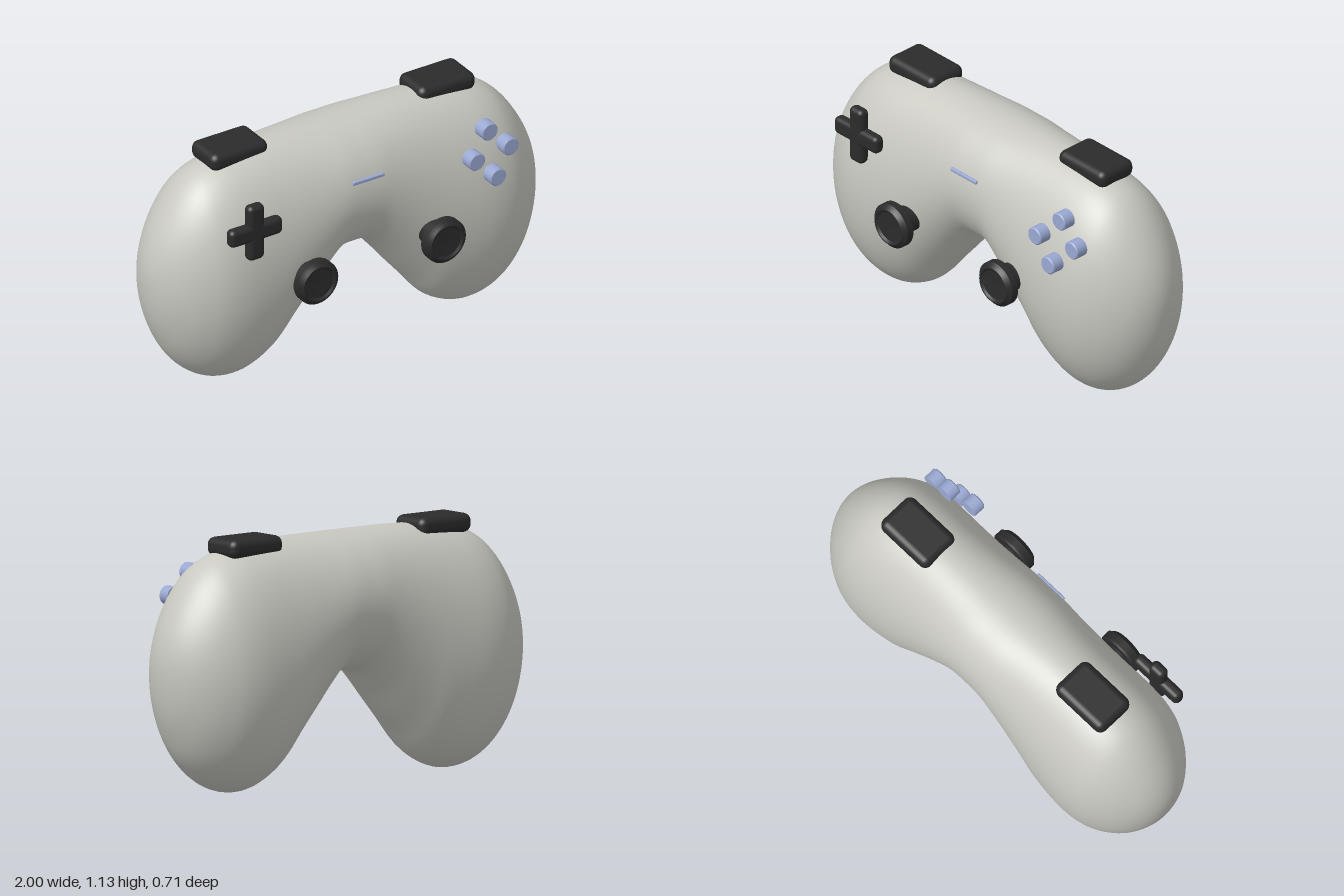
import * as THREE from 'three';
import { mergeVertices } from 'three/addons/utils/BufferGeometryUtils.js';
import { RoundedBoxGeometry } from 'three/addons/geometries/RoundedBoxGeometry.js';

const mat = (name, color) => {
  const m = new THREE.MeshStandardMaterial({ color });
  m.name = name;
  return m;
};

// Outline of the shell from the middle to one side, at x = sin(0, 5, ... 90 degrees)
const TOP = [1.11, 1.11, 1.11, 1.11, 1.108, 1.105, 1.1, 1.092, 1.08, 1.06, 1.03, 0.985, 0.93, 0.87, 0.81, 0.75, 0.69, 0.63, 0.57];
const BOTTOM = [0.487, 0.474, 0.385, 0.28, 0.18, 0.082, 0.03, 0.005, 0.003, 0.017, 0.045, 0.085, 0.135, 0.195, 0.265, 0.335, 0.41, 0.49, 0.57];
const DEPTH = [0.278, 0.279, 0.282, 0.287, 0.294, 0.302, 0.308, 0.312, 0.312, 0.305, 0.29, 0.265, 0.235, 0.2, 0.163, 0.124, 0.083, 0.042, 0];
const BODY_Z = -0.046;

// Shell: elliptical cross-sections strung along x
function bodyGeometry(slices = 144, sides = 72) {
  const stations = [];
  for (let i = -18; i <= 18; i++) {
    const k = Math.abs(i);
    stations.push(new THREE.Vector3(TOP[k], BOTTOM[k], DEPTH[k]));
  }
  const outline = new THREE.CatmullRomCurve3(stations, false, 'catmullrom', 0.5);
  const pos = [], index = [];
  for (let i = 0; i <= slices; i++) {
    const u = i / slices;
    const p = outline.getPoint(u);
    const x = Math.sin((u - 0.5) * Math.PI);
    for (let j = 0; j < sides; j++) {
      const a = (j / sides) * Math.PI * 2;
      pos.push(x, (p.x + p.y) / 2 + ((p.x - p.y) / 2) * Math.cos(a), BODY_Z + p.z * Math.sin(a));
      if (i === slices) continue;
      const n = (j + 1) % sides;
      const A = i * sides + j, B = i * sides + n, C = A + sides, D = B + sides;
      index.push(A, B, C, B, D, C);
    }
  }
  let g = new THREE.BufferGeometry();
  g.setAttribute('position', new THREE.Float32BufferAttribute(pos, 3));
  g.setIndex(index);
  g = mergeVertices(g, 1e-5);
  g.computeVertexNormals();
  return g;
}

// Turned part facing +z; every profile segment keeps its own crisp edge
function turned(points, segments = 40) {
  const g = new THREE.LatheGeometry(points.map(([r, h]) => new THREE.Vector2(r, h)), segments);
  g.rotateX(Math.PI / 2);
  return g;
}

export function createModel() {
  const group = new THREE.Group();
  const shell = mat('warm grey shell', 0xc8c8c1);
  const dark = mat('charcoal', 0x2b2b2b);
  const blue = mat('soft blue', 0x9aa8d2);

  const add = (name, geometry, material, x, y, z, parent = group) => {
    const m = new THREE.Mesh(geometry, material);
    m.name = name;
    m.position.set(x, y, z);
    parent.add(m);
    return m;
  };

  add('body', bodyGeometry(), shell, 0, 0, 0);

  // Shoulder buttons
  for (const [name, x] of [['leftShoulderButton', 0.542], ['rightShoulderButton', -0.546]]) {
    add(name, new RoundedBoxGeometry(0.295, 0.085, 0.2, 4, 0.035), dark, x, 1.092, -0.065);
  }

  // Direction pad
  const pad = new THREE.Group();
  pad.name = 'directionPad';
  pad.position.set(-0.628, 0.855, 0.262);
  group.add(pad);
  add('padHorizontal', new RoundedBoxGeometry(0.275, 0.085, 0.056, 4, 0.024), dark, 0, 0, 0, pad);
  add('padVertical', new RoundedBoxGeometry(0.085, 0.275, 0.056, 4, 0.024), dark, 0, 0, 0, pad);

  // Thumb sticks: stem, and cap with a shallow dished top
  const stem = new THREE.CylinderGeometry(0.064, 0.064, 0.16, 40).rotateX(Math.PI / 2);
  const cap = turned([
    [0, 0], [0.098, 0], [0.098, 0], [0.106, 0.008], [0.106, 0.008], [0.106, 0.043], [0.106, 0.043],
    [0.098, 0.05], [0.098, 0.05], [0.086, 0.062], [0.086, 0.062], [0.08, 0.062], [0.08, 0.062],
    [0.07, 0.054], [0.07, 0.054], [0, 0.052],
  ]);
  for (const [name, x] of [['leftStick', 0.326], ['rightStick', -0.343]]) {
    const stick = new THREE.Group();
    stick.name = name;
    stick.position.set(x, 0.54, 0.294);
    group.add(stick);
    add('stickStem', stem, dark, 0, 0, -0.075, stick);
    add('stickCap', cap, dark, 0, 0, 0, stick);
  }

  // Action buttons follow the curve of the shell
  const button = turned([
    [0, -0.06], [0.042, -0.06], [0.042, -0.06], [0.042, -0.005], [0.042, -0.005], [0.037, 0], [0.037, 0], [0, 0],
  ], 32);
  const spots = [[0.623, 0.952, 0.24], [0.722, 0.855, 0.258], [0.523, 0.855, 0.292], [0.623, 0.755, 0.308]];
  spots.forEach(([x, y, z], i) => add('actionButton' + (i + 1), button, blue, x, y, z));

  // Menu bar
  add('menuBar', new RoundedBoxGeometry(0.165, 0.018, 0.024, 2, 0.006), blue, -0.002, 0.902, 0.214);

  return group;
}
